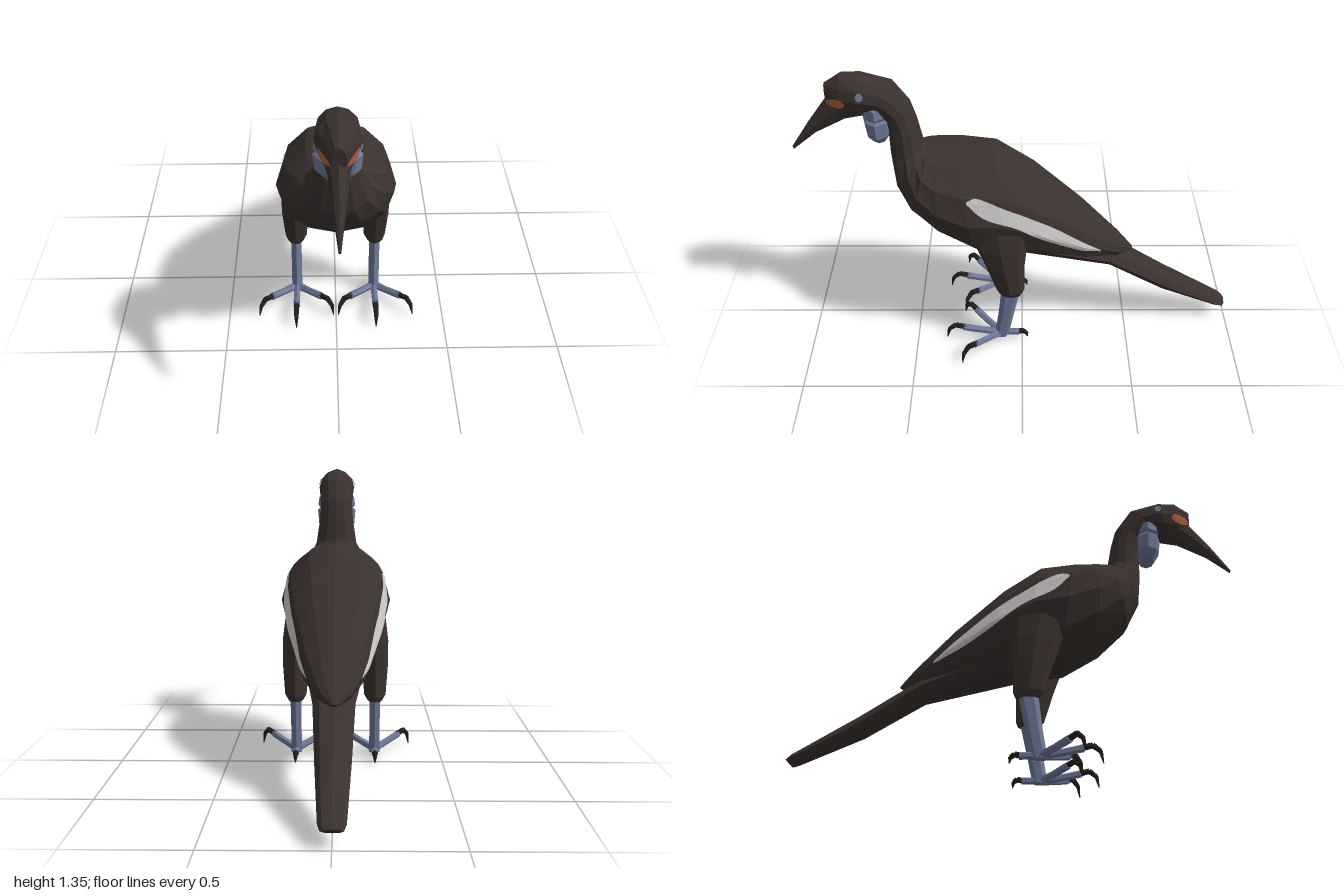
import * as THREE from 'three';
import { mergeGeometries } from 'three/addons/utils/BufferGeometryUtils.js';

const plumage = new THREE.MeshStandardMaterial({ color: 0x3b322f });
plumage.name = 'dark plumage';
const skin = new THREE.MeshStandardMaterial({ color: 0x6c7896 });
skin.name = 'blue grey skin';
const horn = new THREE.MeshStandardMaterial({ color: 0x231e1c });
horn.name = 'dark claw';
const orange = new THREE.MeshStandardMaterial({ color: 0xb0623c });
orange.name = 'orange patch';
const pale = new THREE.MeshStandardMaterial({ color: 0xcccac8 });
pale.name = 'pale wing stripe';

// Facet a geometry so every face is flat
function flat(geo) {
  const g = geo.index ? geo.toNonIndexed() : geo;
  g.computeVertexNormals();
  return g;
}

function mesh(name, geo, material) {
  const m = new THREE.Mesh(flat(geo), material);
  m.name = name;
  return m;
}

// Skin oval rings. Ring: [z, y] of one pole, [z, y] of the opposite pole, half width
function loft(rings, n, cx = 0) {
  const pos = [], idx = [];
  for (const [z0, y0, z1, y1, w] of rings) {
    for (let i = 0; i < n; i++) {
      const a = (i / n) * Math.PI * 2, t = (1 - Math.cos(a)) / 2;
      pos.push(cx + w * Math.sin(a), y0 + (y1 - y0) * t, z0 + (z1 - z0) * t);
    }
  }
  for (let j = 0; j < rings.length - 1; j++) {
    for (let i = 0; i < n; i++) {
      const p = j * n + i, a = j * n + (i + 1) % n;
      idx.push(p, p + n, a, a, p + n, a + n);
    }
  }
  const last = (rings.length - 1) * n;
  for (let i = 1; i < n - 1; i++) {
    idx.push(0, i, i + 1, last, last + i + 1, last + i);
  }
  const g = new THREE.BufferGeometry();
  g.setAttribute('position', new THREE.Float32BufferAttribute(pos, 3));
  g.setIndex(idx);
  return g;
}

// Tapered rod through a chain of points
function rod(points, radii, sides = 6) {
  const parts = [];
  for (let i = 0; i < points.length - 1; i++) {
    const dir = points[i + 1].clone().sub(points[i]);
    const g = new THREE.CylinderGeometry(radii[i + 1], radii[i], dir.length(), sides);
    g.applyQuaternion(new THREE.Quaternion().setFromUnitVectors(
      new THREE.Vector3(0, 1, 0), dir.clone().normalize()));
    const mid = points[i].clone().add(points[i + 1]).multiplyScalar(0.5);
    parts.push(g.translate(mid.x, mid.y, mid.z));
  }
  return mergeGeometries(parts);
}

// Thin patch laid on the side of the targets, between two [z, y] lines running backwards
function patch(targets, upper, lower, side, cols, rows) {
  const curve = (pts) => new THREE.CatmullRomCurve3(pts.map(([z, y]) => new THREE.Vector3(0, y, z)));
  const top = curve(upper), bottom = curve(lower);
  const ray = new THREE.Raycaster();
  const pos = [], idx = [];
  for (let i = 0; i <= cols; i++) {
    for (let j = 0; j <= rows; j++) {
      const p = top.getPoint(i / cols).lerp(bottom.getPoint(i / cols), j / rows);
      ray.set(new THREE.Vector3(2, p.y, p.z), new THREE.Vector3(-1, 0, 0));
      const hit = ray.intersectObjects(targets)[0];
      pos.push(side * ((hit ? hit.point.x : 0.015) + 0.005), p.y, p.z);
      if (i < cols && j < rows) {
        const a = i * (rows + 1) + j, b = a + 1, c = a + rows + 1, d = c + 1;
        if (side > 0) idx.push(a, b, c, c, b, d);
        else idx.push(a, c, b, c, d, b);
      }
    }
  }
  const g = new THREE.BufferGeometry();
  g.setAttribute('position', new THREE.Float32BufferAttribute(pos, 3));
  g.setIndex(idx);
  return g;
}

// One leg: feathered thigh, shank, three front toes and a hind toe with hooked claws
function makeLeg(side) {
  const leg = new THREE.Group();
  leg.name = side > 0 ? 'leftLeg' : 'rightLeg';
  const cx = 0.185 * side;
  leg.add(mesh('thigh', loft([
    [0.25, 0.68, -0.03, 0.66, 0.05], [0.21, 0.58, -0.02, 0.56, 0.062],
    [0.165, 0.46, -0.01, 0.46, 0.061], [0.12, 0.32, -0.01, 0.32, 0.05],
    [0.1, 0.295, 0.0, 0.295, 0.035]], 8, cx), plumage));
  leg.add(mesh('shank', loft([
    [0.097, 0.31, 0.01, 0.31, 0.028], [0.113, 0.16, 0.04, 0.16, 0.027],
    [0.132, 0.03, 0.065, 0.03, 0.028]], 6, cx), skin));
  // heading, toe length, toe tip height, claw scale
  const toes = [[0, 0.18, 0.075, 1], [0.77, 0.17, 0.078, 1],
    [-0.77, 0.17, 0.078, 1], [Math.PI, 0.085, 0.045, 0.5]];
  for (const [heading, len, tipY, s] of toes) {
    const at = (d, y) => new THREE.Vector3(cx + Math.sin(heading) * d, y, 0.1 + Math.cos(heading) * d);
    leg.add(mesh('toe', rod([at(0, 0.042), at(len * 0.5, 0.045 + (tipY - 0.045) * 0.4), at(len, tipY)],
      [0.018, 0.016, 0.017]), skin));
    leg.add(mesh('claw', rod([at(len - 0.012, tipY), at(len + 0.038 * s, tipY + 0.012 * s),
      at(len + 0.07 * s, tipY - 0.014 * s), at(len + 0.08 * s, tipY - 0.065 * s)],
    [0.014, 0.013, 0.01, 0.002], 5), horn));
  }
  return leg;
}

export function createModel() {
  const bird = new THREE.Group();
  bird.name = 'bird';

  // Back, chest, neck and head in one skin, from the wing tips forward
  const body = mesh('body', loft([
    [-0.52, 0.425, -0.5, 0.41, 0.015], [-0.45, 0.5, -0.44, 0.4, 0.075],
    [-0.27, 0.68, -0.3, 0.4, 0.15], [-0.05, 0.875, -0.1, 0.44, 0.21],
    [0.12, 0.988, 0.05, 0.46, 0.24], [0.27, 1.0, 0.2, 0.48, 0.26],
    [0.37, 1.0, 0.37, 0.58, 0.24], [0.41, 1.0, 0.5, 0.7, 0.2],
    [0.42, 1.0, 0.56, 0.82, 0.14], [0.425, 1.01, 0.575, 0.97, 0.1],
    [0.445, 1.12, 0.575, 1.1, 0.082], [0.47, 1.21, 0.59, 1.14, 0.078],
    [0.54, 1.31, 0.65, 1.18, 0.085], [0.675, 1.35, 0.7, 1.17, 0.09],
    [0.755, 1.355, 0.77, 1.16, 0.065], [0.825, 1.31, 0.82, 1.21, 0.028]], 12), plumage);
  const beak = mesh('beak', loft([
    [0.74, 1.27, 0.65, 1.165, 0.068], [0.83, 1.235, 0.755, 1.135, 0.042],
    [0.915, 1.12, 0.89, 1.065, 0.024], [1.0, 0.995, 0.995, 0.98, 0.005]], 8), plumage);
  const tail = mesh('tail', loft([
    [-0.995, 0.09, -0.97, 0.065, 0.045], [-0.97, 0.112, -0.94, 0.075, 0.055],
    [-0.69, 0.28, -0.67, 0.19, 0.074], [-0.42, 0.45, -0.41, 0.35, 0.09],
    [-0.05, 0.6, 0.0, 0.455, 0.15]], 8), plumage);
  bird.add(body, beak, tail);

  // Throat pouch with a crease below its upper lobe
  bird.add(mesh('throatPouch', loft([
    [0.65, 1.235, 0.58, 1.235, 0.05], [0.675, 1.215, 0.56, 1.215, 0.088],
    [0.68, 1.175, 0.555, 1.175, 0.094], [0.67, 1.162, 0.56, 1.162, 0.084],
    [0.68, 1.15, 0.555, 1.15, 0.096], [0.67, 1.08, 0.56, 1.08, 0.09],
    [0.645, 1.04, 0.58, 1.04, 0.05]], 8), skin));

  for (const side of [1, -1]) {
    bird.add(makeLeg(side));
    bird.add(mesh('wingStripe', patch([body],
      [[0.24, 0.86], [0.2, 0.87], [0.05, 0.795], [-0.1, 0.705], [-0.25, 0.59], [-0.36, 0.5]],
      [[0.24, 0.85], [0.17, 0.78], [0.03, 0.715], [-0.1, 0.625], [-0.25, 0.535], [-0.36, 0.49]],
      side, 30, 4), pale));
    bird.add(mesh('facePatch', patch([body, beak],
      [[0.82, 1.24], [0.8, 1.257], [0.745, 1.262], [0.735, 1.245]],
      [[0.82, 1.23], [0.795, 1.22], [0.755, 1.222], [0.735, 1.24]], side, 8, 3), orange));
    bird.add(mesh('eye', patch([body],
      [[0.686, 1.288], [0.678, 1.302], [0.662, 1.302], [0.654, 1.288]],
      [[0.686, 1.284], [0.678, 1.27], [0.662, 1.27], [0.654, 1.284]], side, 6, 2), skin));
  }
  return bird;
}
